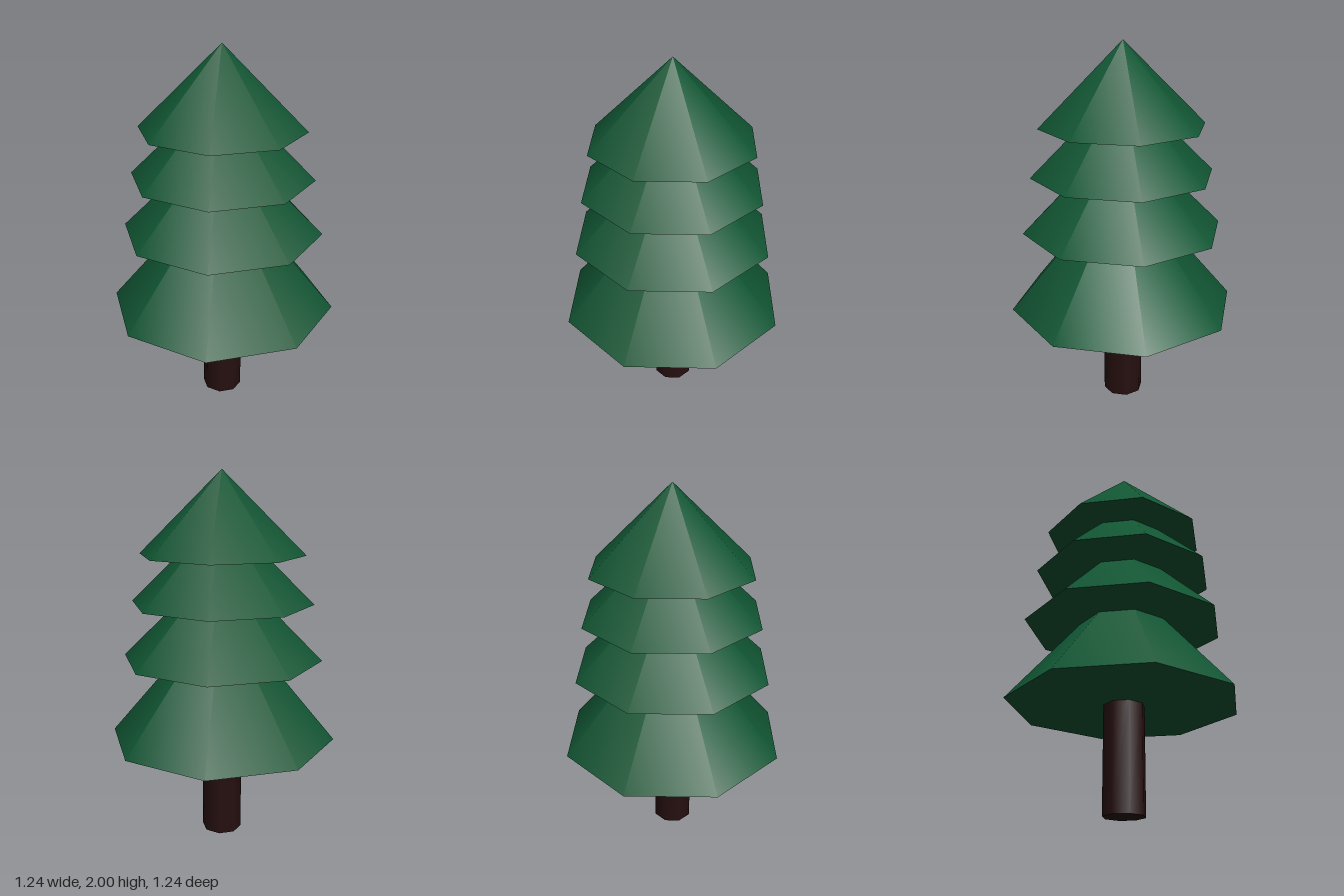
import * as THREE from 'three';

const SIDES = 8;

export function createModel() {
  const tree = new THREE.Group();
  tree.name = 'pineTree';

  const foliageGreen = new THREE.MeshStandardMaterial({ color: 0x115533 });
  foliageGreen.name = 'foliageGreen';
  const barkBrown = new THREE.MeshStandardMaterial({ color: 0x260f0f });
  barkBrown.name = 'barkBrown';

  // Trunk, running a little way into the lowest tier
  const trunkHeight = 0.6;
  const trunk = new THREE.Mesh(
    new THREE.CylinderGeometry(0.11, 0.11, trunkHeight, SIDES), barkBrown);
  trunk.name = 'trunk';
  trunk.position.y = trunkHeight / 2;
  tree.add(trunk);

  // Four overlapping foliage cones, lowest first
  const tiers = [
    { base: 0.563, radius: 0.62, height: 0.735 },
    { base: 1.007, radius: 0.542, height: 0.54 },
    { base: 1.311, radius: 0.491, height: 0.48 },
    { base: 1.567, radius: 0.442, height: 0.433 },
  ];
  tiers.forEach(({ base, radius, height }, i) => {
    const cone = new THREE.Mesh(
      new THREE.ConeGeometry(radius, height, SIDES), foliageGreen);
    cone.name = `foliageTier${i + 1}`;
    cone.position.y = base + height / 2;
    tree.add(cone);
  });

  return tree;
}
